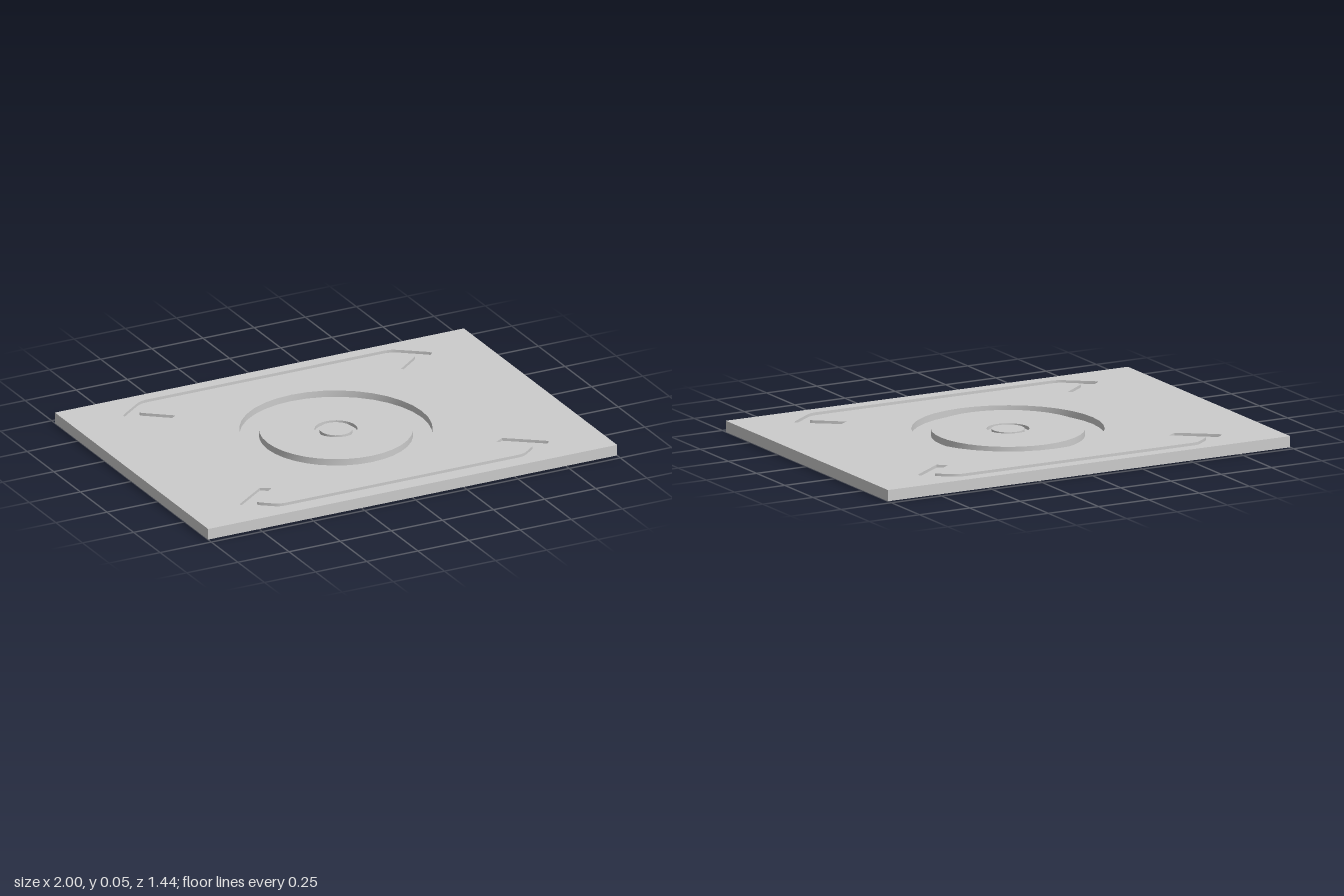
import * as THREE from 'three';
import { mergeGeometries, toCreasedNormals } from 'three/addons/utils/BufferGeometryUtils.js';

const W = 2, D = 1.44, H = 0.05;
const material = new THREE.MeshStandardMaterial({ color: 0xcccccc });

// Outlines are lists of points on the ground plane, where shape y is -z
const circle = (r, n = 36) => Array.from({ length: n }, (_, i) => {
  const a = (i / n) * Math.PI * 2;
  return new THREE.Vector2(r * Math.cos(a), r * Math.sin(a));
});
const outline = (pairs) => {
  const pts = pairs.map(([x, y]) => new THREE.Vector2(x, y));
  return THREE.ShapeUtils.isClockWise(pts) ? pts.reverse() : pts;
};

// Level face at height y, facing up (or down)
function face(pts, holes, y, down = false) {
  const shape = new THREE.Shape(pts);
  shape.holes = holes.map((h) => new THREE.Path(h));
  const g = new THREE.ShapeGeometry(shape).rotateX(down ? Math.PI / 2 : -Math.PI / 2).translate(0, y, 0);
  g.deleteAttribute('uv');
  return g.toNonIndexed();
}

// Upright wall along an outline, facing away from it (or into it)
function wall(pts, y0, y1, inward = false) {
  const loop = inward ? [...pts].reverse() : pts;
  const pos = [];
  loop.forEach((a, i) => {
    const b = loop[(i + 1) % loop.length];
    const v = [[a, y0], [b, y0], [b, y1], [a, y0], [b, y1], [a, y1]];
    v.forEach(([p, y]) => pos.push(p.x, y, -p.y));
  });
  const g = new THREE.BufferGeometry();
  g.setAttribute('position', new THREE.Float32BufferAttribute(pos, 3));
  g.computeVertexNormals();
  return g;
}

function part(name, pieces) {
  const mesh = new THREE.Mesh(toCreasedNormals(mergeGeometries(pieces), 0.35), material);
  mesh.name = name;
  return mesh;
}

// Sunken channel between an outer outline and an optional island
function groove(name, outer, island, depth) {
  const y = H - depth;
  const pieces = [face(outer, island ? [island] : [], y), wall(outer, y, H, true)];
  if (island) pieces.push(wall(island, y, H));
  return part(name, pieces);
}

export function createModel() {
  const group = new THREE.Group();
  group.name = 'groovedPlate';

  const rim = outline([[-W / 2, -D / 2], [W / 2, -D / 2], [W / 2, D / 2], [-W / 2, D / 2]]);
  const ringOuter = circle(0.42), ringInner = circle(0.335);
  const hubOuter = circle(0.093), hubInner = circle(0.072);

  // Half of the bracket channel: outer edge from its tip, then inner edge back
  const outerEdge = [[0.592, 0.422], [0.745, 0.535], [0.754, 0.548], [0.745, 0.562],
    [0.636, 0.645], [0.612, 0.658], [0.585, 0.663]];
  const innerEdge = [[0.575, 0.619], [0.597, 0.615], [0.616, 0.604], [0.666, 0.565],
    [0.674, 0.553], [0.666, 0.541], [0.55, 0.45]];
  const flip = (edge) => edge.map(([x, y]) => [-x, y]).reverse();
  const bracket = [...outerEdge, ...flip(outerEdge), ...flip(innerEdge), ...innerEdge];
  const backBracket = outline(bracket);
  const frontBracket = outline(bracket.map(([x, y]) => [x, -y]));

  // Plate: top with openings for the grooves, sides and underside
  group.add(part('plate', [
    face(rim, [ringOuter, backBracket, frontBracket], H),
    wall(rim, 0, H),
    face(rim, [], 0, true),
  ]));

  // Islands left standing inside the round grooves
  group.add(part('disc', [face(ringInner, [hubOuter], H)]));
  group.add(part('hub', [face(hubInner, [], H)]));

  // Grooves
  group.add(groove('ringGroove', ringOuter, ringInner, 0.03));
  group.add(groove('hubGroove', hubOuter, hubInner, 0.015));
  group.add(groove('backBracketGroove', backBracket, null, 0.013));
  group.add(groove('frontBracketGroove', frontBracket, null, 0.013));
  return group;
}
